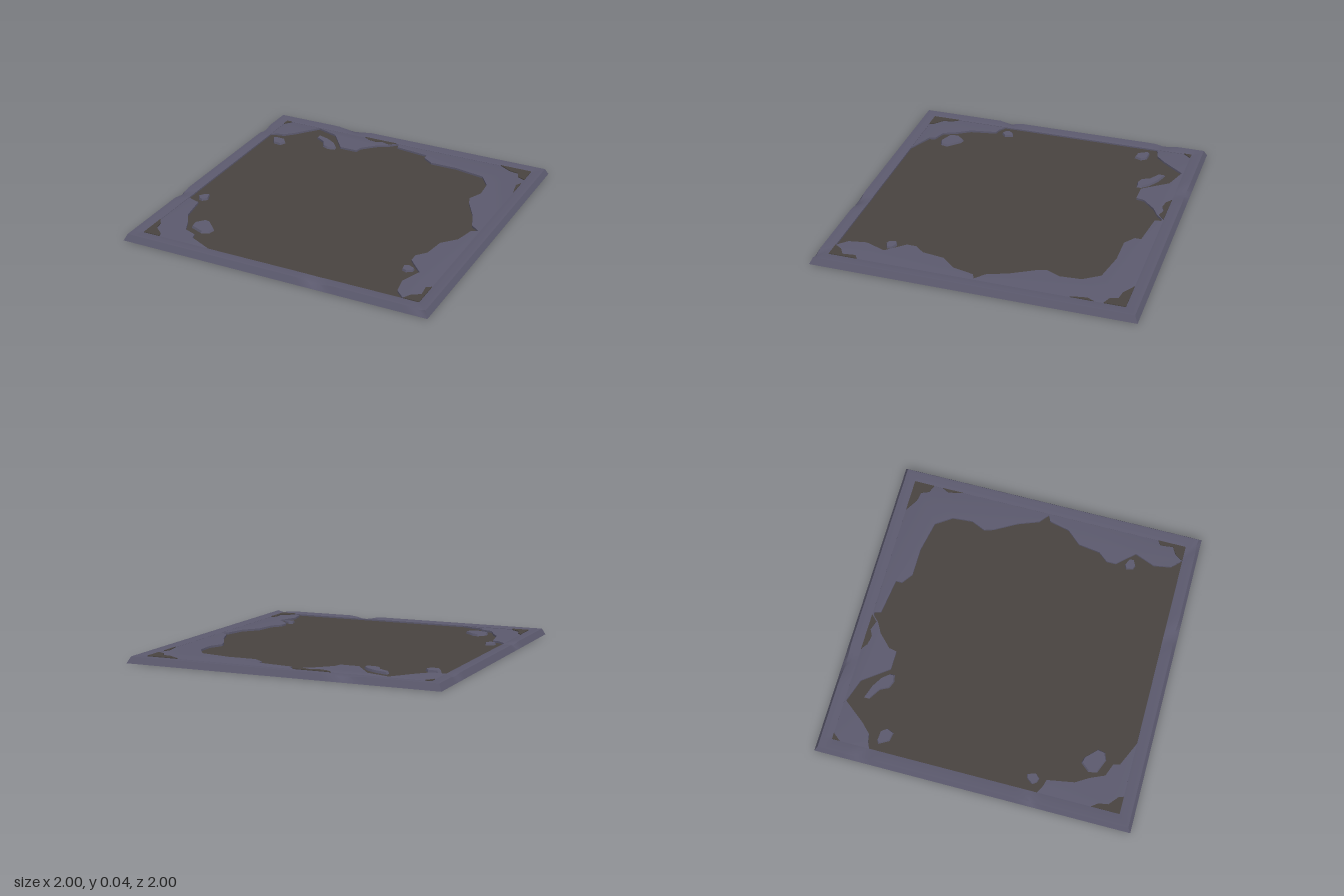
import * as THREE from 'three';
import { toCreasedNormals } from 'three/addons/utils/BufferGeometryUtils.js';

const stone = new THREE.MeshStandardMaterial({ color: 0x5b596d });
stone.name = 'slate stone';
const dirt = new THREE.MeshStandardMaterial({ color: 0x48433f });
dirt.name = 'packed dirt';

// Upright plate from an outline of [x, z] points, between two heights
function plate(points, y0, y1) {
  const shape = new THREE.Shape(points.map(([x, z]) => new THREE.Vector2(x, -z)));
  const geo = new THREE.ExtrudeGeometry(shape, { depth: y1 - y0, bevelEnabled: false });
  return geo.rotateX(-Math.PI / 2).translate(0, y0, 0);
}

function add(group, name, geo, material) {
  const mesh = new THREE.Mesh(geo, material);
  mesh.name = name;
  group.add(mesh);
}

// Square rim: one cross-section carried round four sides, with chipped spots
function rimGeometry() {
  const section = [[0.91, 0], [0.91, 0.034], [0.945, 0.04], [0.98, 0.04], [1, 0]];
  const chipWeight = [0, 0.1, 0.6, 1, 0];
  // side, place along the side, half width, depth
  const chips = [[0, 0.3, 0.1, 0.02], [0, 0.95, 0.05, 0.012], [2, 0.42, 0.13, 0.014],
    [3, 0.38, 0.07, 0.014], [3, -0.73, 0.07, 0.012]];
  const steps = 48, n = section.length, pos = [], index = [];
  for (let k = 0; k < 4; k++) {
    for (let s = 0; s < steps; s++) {
      const t = -1 + (2 * s) / steps;
      let cut = 0;
      for (const [side, at, w, depth] of chips) {
        if (side === k) cut = Math.max(cut, depth * (1 - Math.abs(t - at) / w));
      }
      section.forEach(([r, y], i) => {
        let x = t * r, z = r - cut * chipWeight[i] * 0.5;
        for (let q = 0; q < k; q++) [x, z] = [z, -x];
        pos.push(x, y - cut * chipWeight[i], z);
      });
    }
  }
  const total = steps * 4;
  for (let s = 0; s < total; s++) {
    for (let i = 0; i < n; i++) {
      const j = (i + 1) % n, s2 = (s + 1) % total;
      const a = s * n + i, b = s2 * n + i, c = s2 * n + j, d = s * n + j;
      index.push(a, d, c, a, c, b);
    }
  }
  const geo = new THREE.BufferGeometry();
  geo.setAttribute('position', new THREE.Float32BufferAttribute(pos, 3));
  geo.setIndex(index);
  return toCreasedNormals(geo, 0.7);
}

// Broken slab whose surface sinks a little towards the rim
function slabGeometry(points) {
  const geo = plate(points, 0.006, 0.037);
  const p = geo.attributes.position;
  for (let i = 0; i < p.count; i++) {
    const edge = Math.max(Math.abs(p.getX(i)), Math.abs(p.getZ(i)));
    if (p.getY(i) > 0.03 && edge > 0.905) p.setY(i, 0.031);
  }
  return toCreasedNormals(geo, 0.6);
}

// Loose stone, narrower at the top
function pebbleGeometry(points) {
  const cx = points.reduce((s, q) => s + q[0], 0) / points.length;
  const cz = points.reduce((s, q) => s + q[1], 0) / points.length;
  const geo = plate(points, 0.008, 0.038);
  const p = geo.attributes.position;
  for (let i = 0; i < p.count; i++) {
    if (p.getY(i) < 0.03) continue;
    p.setX(i, cx + (p.getX(i) - cx) * 0.82);
    p.setZ(i, cz + (p.getZ(i) - cz) * 0.82);
  }
  return toCreasedNormals(geo, 0.6);
}

export function createModel() {
  const model = new THREE.Group();
  model.name = 'floorTile';

  add(model, 'rim', rimGeometry(), stone);
  add(model, 'dirtFloor', new THREE.BoxGeometry(1.83, 0.012, 1.83).translate(0, 0.018, 0), dirt);

  // Broken slabs around the dirt
  add(model, 'backRightSlab', slabGeometry([
    [-0.915, -0.67], [-0.87, -0.69], [-0.82, -0.7], [-0.76, -0.76], [-0.65, -0.9], [-0.5, -0.85],
    [-0.38, -0.69], [-0.26, -0.69], [-0.25, -0.74], [-0.17, -0.82], [-0.1, -0.86], [-0.06, -0.9],
    [-0.04, -0.9], [-0.03, -0.86], [0.2, -0.83], [0.2, -0.79], [0.27, -0.74], [0.45, -0.74],
    [0.65, -0.7], [0.72, -0.6], [0.73, -0.47], [0.69, -0.38], [0.71, -0.32], [0.79, -0.18],
    [0.84, -0.05], [0.9, 0], [0.86, 0.02], [0.83, 0.15], [0.75, 0.24], [0.73, 0.38], [0.68, 0.44],
    [0.68, 0.5], [0.78, 0.61], [0.73, 0.74], [0.75, 0.85], [0.8, 0.9], [0.82, 0.915],
    [0.915, 0.915], [0.915, -0.915], [-0.915, -0.915],
  ]), stone);
  add(model, 'frontLeftSlab', slabGeometry([
    [-0.915, 0.39], [-0.86, 0.42], [-0.82, 0.43], [-0.79, 0.6], [-0.74, 0.68], [-0.7, 0.77],
    [-0.62, 0.8], [-0.61, 0.84], [-0.44, 0.915], [-0.915, 0.915],
  ]), stone);

  // Thin dirt patches lying against the rim
  const patches = [
    [[-0.91, -0.91], [-0.87, -0.91], [-0.91, -0.86]],
    [[0.7, -0.91], [0.91, -0.91], [0.91, -0.78], [0.86, -0.8], [0.84, -0.85], [0.78, -0.86]],
    [[-0.3, -0.91], [-0.26, -0.88], [-0.2, -0.87], [-0.16, -0.89], [-0.1, -0.87], [-0.06, -0.91]],
    [[0.91, -0.72], [0.89, -0.68], [0.9, -0.62], [0.91, -0.58]],
    [[-0.91, 0.91], [-0.91, 0.73], [-0.88, 0.77], [-0.87, 0.83], [-0.81, 0.88], [-0.8, 0.91]],
    [[0.91, 0.91], [0.81, 0.91], [0.84, 0.86], [0.89, 0.83], [0.88, 0.75], [0.91, 0.73]],
  ];
  for (const outline of patches) add(model, 'dirtPatch', plate(outline, 0.03, 0.0385), dirt);

  // Loose stones in the dirt
  const pebbles = [
    [[-0.87, -0.63], [-0.85, -0.645], [-0.78, -0.64], [-0.75, -0.6], [-0.77, -0.55], [-0.83, -0.56]],
    [[-0.61, -0.81], [-0.52, -0.78], [-0.44, -0.73], [-0.4, -0.68], [-0.4, -0.65], [-0.45, -0.64],
      [-0.5, -0.66], [-0.53, -0.72], [-0.61, -0.77]],
    [[-0.87, 0.35], [-0.84, 0.31], [-0.81, 0.3], [-0.79, 0.36], [-0.82, 0.39], [-0.85, 0.38]],
    [[-0.71, 0.66], [-0.66, 0.6], [-0.62, 0.61], [-0.54, 0.69], [-0.55, 0.74], [-0.6, 0.76], [-0.7, 0.72]],
    [[0.66, 0.57], [0.69, 0.555], [0.74, 0.58], [0.74, 0.61], [0.7, 0.63], [0.67, 0.62]],
  ];
  for (const outline of pebbles) add(model, 'looseStone', pebbleGeometry(outline), stone);

  return model;
}
